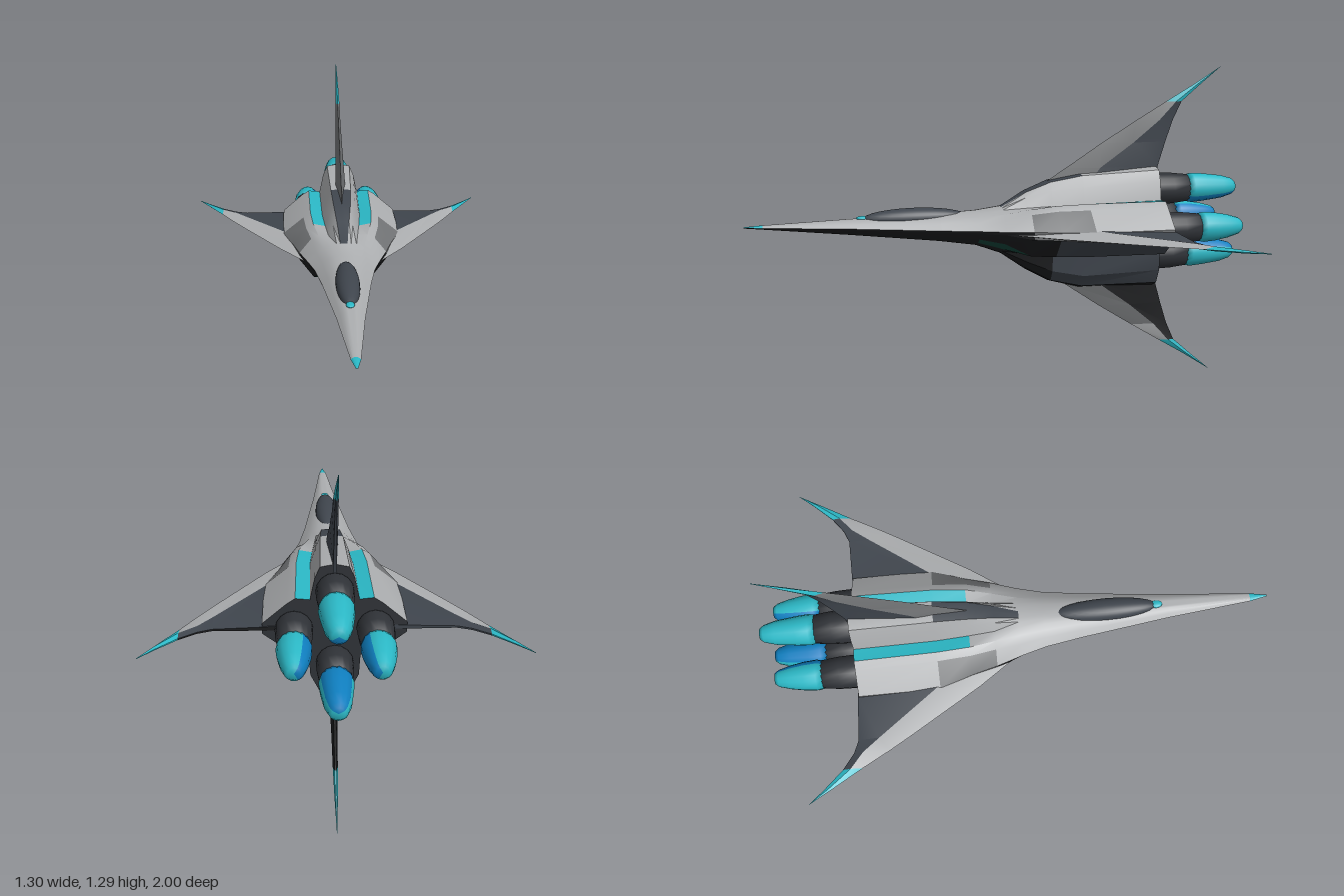
import * as THREE from 'three';
import { toCreasedNormals } from 'three/addons/utils/BufferGeometryUtils.js';

const COLORS = {
  lightGrey: 0xacaeb0, midGrey: 0x727476, slate: 0x3f454d, charcoal: 0x303338,
  black: 0x1c1d1f, cyan: 0x2bb8c6, blue: 0x0f7fc0, darkGreen: 0x14443a,
};
const MID = 0.655; // height of the main axis

export function createModel() {
  const model = new THREE.Group();
  const mats = {};
  for (const [name, color] of Object.entries(COLORS)) {
    mats[name] = new THREE.MeshStandardMaterial({ color });
    mats[name].name = name;
  }

  const add = (name, geometry, material, parent = model) => {
    const mesh = new THREE.Mesh(geometry, material);
    mesh.name = name;
    parent.add(mesh);
    return mesh;
  };

  // Skin closed rings of points; colorOf(row, column) names the colour of each cell
  function loft(name, rings, colorOf, crease, capColor) {
    const buckets = {};
    const tri = (color, ...pts) => (buckets[color] ??= []).push(...pts.flat());
    const n = rings[0].length;
    for (let i = 0; i < rings.length - 1; i++) {
      for (let j = 0; j < n; j++) {
        const k = (j + 1) % n;
        const a = rings[i][j], b = rings[i][k], c = rings[i + 1][k], d = rings[i + 1][j];
        tri(colorOf(i, j), a, d, c);
        tri(colorOf(i, j), a, c, b);
      }
    }
    if (capColor) {
      const centre = [0, MID, rings[0][0][2]];
      for (let j = 0; j < n; j++) tri(capColor, centre, rings[0][j], rings[0][(j + 1) % n]);
    }
    const names = Object.keys(buckets);
    let geo = new THREE.BufferGeometry();
    geo.setAttribute('position', new THREE.Float32BufferAttribute(names.flatMap((c) => buckets[c]), 3));
    geo = toCreasedNormals(geo, crease);
    let start = 0;
    names.forEach((c, i) => {
      geo.addGroup(start, buckets[c].length / 3, i);
      start += buckets[c].length / 3;
    });
    return add(name, geo, names.map((c) => mats[c]));
  }

  // --- Hull: half profiles from the spine, round the chine, to the keel ---
  const rear = [[0, .89], [.05, .88], [.068, .84], [.085, .76], [.135, .765], [.165, .745], [.25, .672],
    [.25, .635], [.14, .55], [.09, .548], [.085, .47], [.055, .41], [0, .385]];
  const middle = [[0, .87], [.042, .865], [.06, .82], [.08, .755], [.13, .765], [.16, .745], [.25, .672],
    [.25, .635], [.14, .553], [.088, .55], [.082, .46], [.045, .41], [0, .395]];
  const shoulder = [[0, .845], [.035, .842], [.05, .81], [.07, .75], [.12, .76], [.15, .743], [.205, .67],
    [.205, .638], [.13, .556], [.08, .555], [.075, .485], [.045, .44], [0, .43]];
  const front = [[0, .805], [.025, .803], [.04, .785], [.06, .745], [.10, .745], [.13, .73], [.178, .67],
    [.178, .64], [.12, .562], [.07, .56], [.065, .525], [.04, .495], [0, .485]];
  const FX = [0, .1, .2, .35, .55, .75, 1, .97, .7, .45, .3, .15, 0];
  const FY = [1, 1, .97, .92, .75, .45, 0, -.12, -.5, -.75, -.86, -.95, -1];
  const nose = (w, top, mid, bottom) =>
    FX.map((f, i) => [f * w, mid + FY[i] * (FY[i] > 0 ? top - mid : mid - bottom)]);

  const sections = [
    [-.65, rear], [-.33, middle], [-.2, shoulder], [-.1, front],
    [0, nose(.145, .745, .668, .555)], [.1, nose(.118, .732, .67, .592)],
    [.25, nose(.094, .726, .674, .615)], [.6, nose(.05, .717, .688, .655)],
    [.93, nose(.017, .706, .698, .69)], [1, nose(.003, .702, .7, .697)],
  ];
  const hullRings = sections.map(([z, half]) => [
    ...half.map(([x, y]) => [x, y, z]),
    ...half.slice(1, -1).reverse().map(([x, y]) => [-x, y, z]),
  ]);
  loft('hull', hullRings, (row, j) => {
    const k = j < 12 ? j : 23 - j;
    if (k < 6) {
      if (row === 8) return 'cyan';                            // nose tip
      if (k === 3 && row < 2) return 'cyan';                   // glowing channels
      if (k === 0 && row > 0 && row < 4) return 'slate';       // dark spine fairing
      if (k === 5 && (row === 1 || row === 2)) return 'midGrey'; // shoulder intakes
      return 'lightGrey';
    }
    if (k === 6) return row < 3 ? 'midGrey' : 'black';
    if (k === 8 && row < 5) return 'darkGreen';                // lower channels
    if ((k === 7 || k === 9 || k === 10) && row < 2) return 'slate';
    return 'black';
  }, 0.5, 'charcoal');

  // --- Canopy and the small light ahead of it ---
  const canopy = add('canopy', new THREE.SphereGeometry(1, 24, 16), mats.slate);
  canopy.scale.set(.045, .038, .205);
  canopy.position.set(0, .714, .345);
  const light = add('noseLight', new THREE.SphereGeometry(1, 12, 8), mats.cyan);
  light.scale.set(.016, .008, .025);
  light.position.set(0, .719, .55);

  // --- Wings and fins: stations are [span, leading z, ridge z, trailing z, half thickness] ---
  const wingStations = [
    [.12, .02, -.2, -.64, .03], [.17, -.06, -.25, -.65, .028], [.25, -.175, -.35, -.655, .022],
    [.42, -.455, -.58, -.66, .012], [.47, -.54, -.645, -.68, .01], [.53, -.65, -.695, -.725, .009],
    [.6, -.77, -.785, -.8, .006], [.65, -.858, -.859, -.86, .001],
  ];
  const finStations = [
    [.1, -.05, -.3, -.64, .024], [.24, -.27, -.41, -.66, .02], [.34, -.42, -.55, -.69, .015],
    [.43, -.565, -.66, -.72, .011], [.505, -.69, -.73, -.755, .009],
    [.57, -.8, -.815, -.83, .006], [.645, -.918, -.919, -.92, .001],
  ];

  // Each side is given as [front colour, rear colour, colour of the band before the tip]
  function blade(name, stations, angle, upper, lower, stretch = 1) {
    const cos = Math.cos(angle), sin = Math.sin(angle);
    const rings = stations.map(([s, lead, ridge, trail, t]) =>
      [[0, lead], [t, ridge], [t * .3, trail], [-t * .3, trail], [-t, ridge]].map(([v, z]) => {
        const u = s * stretch;
        return [u * cos - v * sin, MID + u * sin + v * cos, z];
      }));
    const last = rings.length - 1;
    loft(name, rings, (row, j) => {
      if (row >= last - 2) return 'cyan';
      const side = j < 2 ? upper : lower;
      if (j === 1 || j === 2 || j === 3) return side[1];
      return row === last - 3 ? side[2] : side[0];
    }, 0.3);
  }
  const wingTop = ['lightGrey', 'slate', 'lightGrey'];
  const wingUnder = ['black', 'black', 'black'];
  const topFin = ['midGrey', 'slate', 'midGrey'];
  const bottomFin = ['midGrey', 'black', 'lightGrey'];
  blade('leftWing', wingStations, 0, wingTop, wingUnder);
  blade('rightWing', wingStations, Math.PI, wingUnder, wingTop);
  blade('topFin', finStations, Math.PI / 2, topFin, topFin, .985);
  blade('bottomFin', finStations, -Math.PI / 2, bottomFin, bottomFin, 1.0155);

  // --- Four engines in a diamond, with blue on the sides facing the axis ---
  const lathe = (profile, segments, start, length) => {
    const geo = new THREE.LatheGeometry(profile.map(([r, d]) => new THREE.Vector2(r, d)), segments, start, length);
    return geo.rotateX(-Math.PI / 2);
  };
  const engines = [
    ['topEngine', 0, .795, 0, 1], ['leftEngine', .14, .655, Math.PI / 2, .975],
    ['bottomEngine', 0, .522, Math.PI, 1], ['rightEngine', -.14, .655, -Math.PI / 2, .975],
  ];
  for (const [name, x, y, outward, end] of engines) {
    const engine = new THREE.Group();
    engine.name = name;
    engine.position.set(x, y, 0);
    model.add(engine);
    add('nacelle', lathe([[.05, .6], [.066, .66], [.064, .72], [.055, .8], [0, .8]], 16, 0, Math.PI * 2),
      mats.charcoal, engine);
    const cone = [[0, .785], [.056, .785], [.061, .81], [.057, .86], [.047, end - .06], [.034, end - .015], [.022, end], [0, end]];
    const inner = 2.1;
    const from = outward + Math.PI - inner / 2;
    add('exhaustInner', lathe(cone, 5, from, inner), mats.blue, engine);
    add('exhaustOuter', lathe(cone, 10, from + inner, Math.PI * 2 - inner), mats.cyan, engine);
  }

  return model;
}
